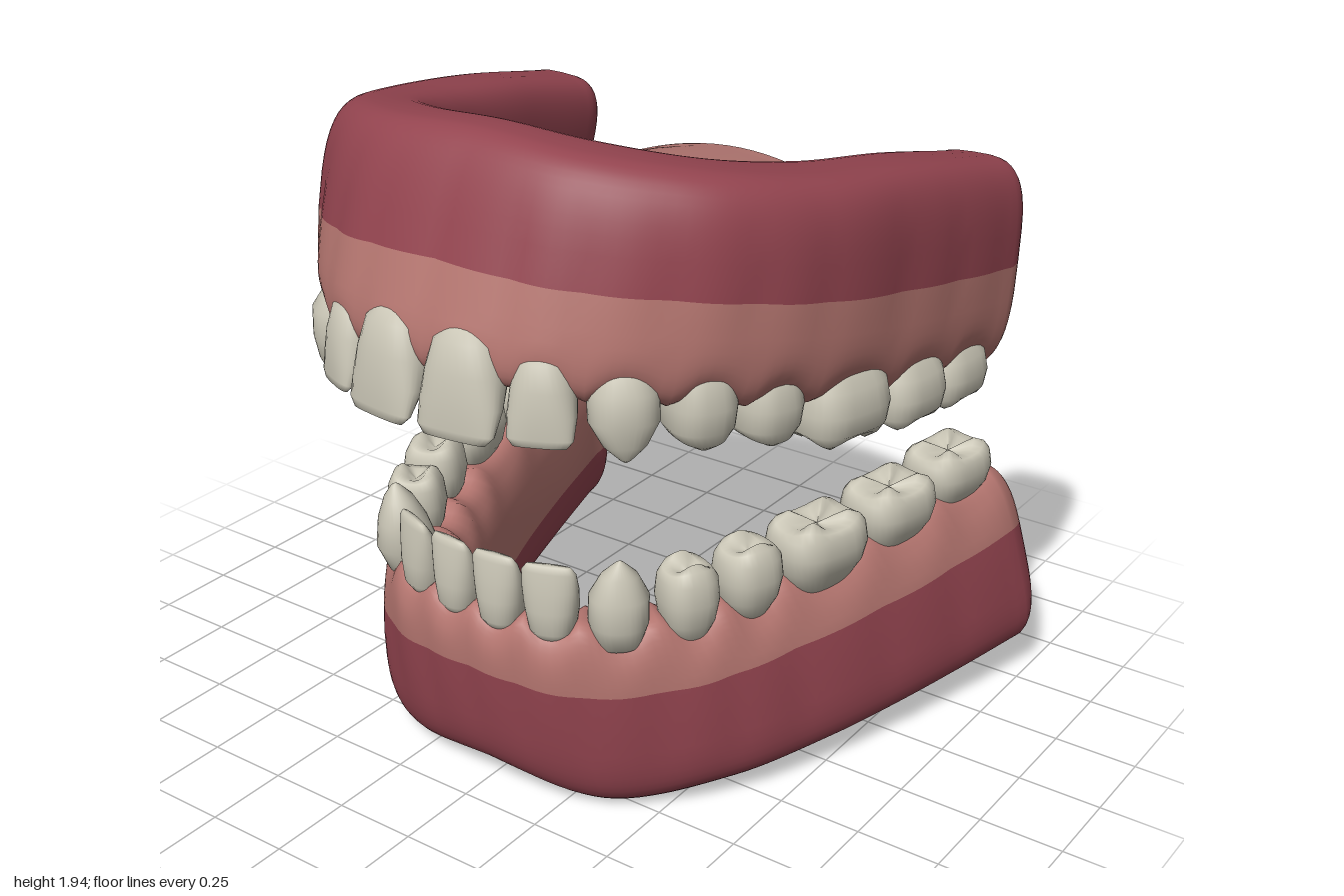
import * as THREE from 'three';

const paint = (color, extra = {}) => new THREE.MeshStandardMaterial({ color, ...extra });
const spow = (v, p) => Math.sign(v) * Math.abs(v) ** p;

// Skin a list of closed rings (arrays of [x, y, z]); flip reverses the facing.
function loft(rings, flip = false) {
  const n = rings[0].length, index = [];
  for (let i = 0; i < rings.length - 1; i++) {
    for (let j = 0; j < n; j++) {
      const k = (j + 1) % n;
      const a = i * n + j, b = (i + 1) * n + j, c = (i + 1) * n + k, d = i * n + k;
      index.push(...(flip ? [a, c, b, a, d, c] : [a, b, c, a, c, d]));
    }
  }
  const geo = new THREE.BufferGeometry();
  geo.setAttribute('position', new THREE.Float32BufferAttribute(rings.flat(2), 3));
  geo.setIndex(index);
  geo.computeVertexNormals();
  return geo;
}

// Crown rings from neck to tip: [height, width, depth, outward shift, cusp height]
const CROWNS = {
  incisor: { pow: 0.85, cusps: 0, rings: [[0, 0, 0, -0.4], [0, 0.3, 0.45, -0.4], [0.06, 0.6, 0.75, -0.15], [0.18, 0.83, 0.9, 0],
    [0.45, 0.98, 0.85, 0.12], [0.7, 1.03, 0.6, 0.3], [0.92, 0.99, 0.3, 0.5], [1, 0.8, 0.16, 0.55], [1, 0, 0, 0.55]] },
  canine: { pow: 0.9, cusps: 0, rings: [[0, 0, 0, -0.4], [0, 0.45, 0.45, -0.4], [0.1, 0.75, 0.78, -0.15], [0.35, 0.98, 1, 0],
    [0.62, 0.98, 0.8, 0.12], [0.84, 0.6, 0.48, 0.22], [0.97, 0.15, 0.15, 0.3], [1, 0, 0, 0.3]] },
  premolar: { pow: 0.8, cusps: 2, rings: [[-0.2, 0, 0, 0], [-0.2, 0.55, 0.55, 0], [0.12, 0.9, 0.88, 0], [0.45, 1.03, 1, 0], [0.75, 0.98, 0.9, 0],
    [0.9, 0.8, 0.72, 0, 0.04], [0.94, 0.5, 0.5, 0, 0.08], [0.85, 0.25, 0.25, 0, 0.04], [0.8, 0, 0, 0]] },
  molar: { pow: 0.7, cusps: 4, rings: [[-0.3, 0, 0, 0], [-0.3, 0.7, 0.55, 0], [0.12, 0.95, 0.9, 0], [0.45, 1.03, 1, 0], [0.75, 0.99, 0.92, 0],
    [0.87, 0.86, 0.78, 0, 0.05], [0.92, 0.6, 0.56, 0, 0.1], [0.84, 0.3, 0.28, 0, 0.07], [0.78, 0, 0, 0]] },
};

function crown({ kind, w, d, neck, tip }) {
  const { pow, cusps, rings } = CROWNS[kind], h = Math.abs(tip - neck);
  return loft(rings.map(([y, rw, rd, out, cusp = 0]) => Array.from({ length: 32 }, (_, j) => {
    const a = j / 32 * Math.PI * 2;
    return [spow(Math.cos(a), pow) * rw * w / 2,
      (y - cusp * Math.cos(cusps * a)) * h,
      (spow(Math.sin(a), pow) * rd + out) * d / 2];
  })));
}

// One side of a tooth row, midline to back: [x, z, width, depth, neck y, tip y, outward tilt]
const KINDS = ['incisor', 'incisor', 'canine', 'premolar', 'premolar', 'molar', 'molar', 'molar'];
const toothRow = (rows) => rows.map(([x, z, w, d, neck, tip, tilt = 0], i) => {
  const prev = rows[i - 1] || [-x, z], next = rows[i + 1] || rows[i];
  return { x, z, w, d, neck, tip, tilt, kind: KINDS[i], yaw: Math.atan2(prev[1] - next[1], next[0] - prev[0]) };
});

const UPPER = {
  name: 'upper', up: 1, push: 0.14, bandStart: 0,
  teeth: toothRow([
    [0.115, 0.79, 0.23, 0.18, 1.51, 1.2, 0.18], [0.305, 0.735, 0.175, 0.17, 1.47, 1.21, 0.18],
    [0.46, 0.625, 0.19, 0.19, 1.45, 1.16, 0.12], [0.58, 0.46, 0.185, 0.22, 1.39, 1.17],
    [0.66, 0.27, 0.185, 0.22, 1.34, 1.13], [0.745, 0.04, 0.28, 0.25, 1.27, 1.07],
    [0.79, -0.22, 0.25, 0.25, 1.22, 1.04], [0.81, -0.46, 0.24, 0.23, 1.19, 1.02]]),
  // rails: outer ridge, outer margin, inner ridge, inner margin
  rails: [
    [[0, 1.95, 0.68], [0.34, 1.93, 0.66], [0.65, 1.89, 0.47], [0.82, 1.83, 0.17], [0.88, 1.77, -0.25], [0.91, 1.69, -0.69]],
    [[0, 1.34, 0.91], [0.36, 1.32, 0.83], [0.63, 1.29, 0.6], [0.805, 1.23, 0.27], [0.89, 1.16, -0.1], [0.935, 1.09, -0.58]],
    [[0, 1.94, 0.43], [0.22, 1.92, 0.39], [0.41, 1.87, 0.24], [0.5, 1.82, 0], [0.55, 1.76, -0.35], [0.57, 1.68, -0.68]],
    [[0, 1.35, 0.58], [0.25, 1.33, 0.52], [0.4, 1.28, 0.38], [0.53, 1.21, 0.12], [0.6, 1.15, -0.2], [0.65, 1.09, -0.55]]],
};

const LOWER = {
  name: 'lower', up: -1, push: 0.15, bandStart: -1,
  teeth: toothRow([
    [0.075, 0.65, 0.145, 0.14, 0.53, 0.78], [0.225, 0.62, 0.155, 0.14, 0.53, 0.78],
    [0.38, 0.53, 0.17, 0.18, 0.5, 0.8], [0.49, 0.36, 0.165, 0.18, 0.55, 0.75],
    [0.57, 0.18, 0.185, 0.19, 0.57, 0.76], [0.65, -0.06, 0.29, 0.23, 0.6, 0.77],
    [0.715, -0.36, 0.28, 0.23, 0.62, 0.78], [0.76, -0.64, 0.27, 0.22, 0.65, 0.8]]),
  rails: [
    [[0, 0.04, 0.68], [0.38, -0.01, 0.6], [0.65, 0.03, 0.35], [0.82, 0.06, 0], [0.94, 0.08, -0.4], [1.04, 0.1, -0.79]],
    [[0, 0.61, 0.74], [0.31, 0.61, 0.68], [0.53, 0.6, 0.45], [0.66, 0.62, 0.14], [0.79, 0.66, -0.25], [0.89, 0.71, -0.74]],
    [[0, 0.06, 0.36], [0.22, 0.02, 0.28], [0.38, 0.05, 0.08], [0.48, 0.07, -0.18], [0.57, 0.08, -0.48], [0.65, 0.1, -0.79]],
    [[0, 0.61, 0.5], [0.2, 0.61, 0.46], [0.34, 0.6, 0.3], [0.46, 0.62, 0.03], [0.57, 0.66, -0.32], [0.65, 0.71, -0.73]]],
};

// How close a gum point lies to the middle of a tooth, 0 to 1
function toothBump(teeth, p) {
  let best = 0;
  for (const t of teeth) {
    const dx = Math.abs(p.x) - t.x, dz = p.z - t.z, c = Math.cos(t.yaw), s = Math.sin(t.yaw);
    if (Math.abs(dx * s + dz * c) < 0.25) best = Math.max(best, 1 - ((dx * c - dz * s) / (t.w / 2)) ** 2);
  }
  return best;
}

// Horseshoe gum: a rounded section swept between four rails, with domed ends
function gum({ name, up, push, bandStart, teeth, rails }) {
  const N = 48, STEPS = 110, CAP = 10;
  const curves = rails.map((half) => new THREE.CatmullRomCurve3(
    [...half.slice(1).reverse().map(([x, y, z]) => [-x, y, z]), ...half].map((p) => new THREE.Vector3(...p))));
  const stations = [];
  for (let i = 0; i < CAP; i++) stations.push([0, i / CAP * Math.PI / 2]);
  for (let i = 0; i <= STEPS; i++) stations.push([i / STEPS, Math.PI / 2]);
  for (let i = CAP - 1; i >= 0; i--) stations.push([1, i / CAP * Math.PI / 2]);

  const rings = stations.map(([t, phi]) => {
    const [or, om, ir, im] = curves.map((c) => c.getPoint(t));
    const mid = new THREE.Vector3().add(or).add(om).add(ir).add(im).multiplyScalar(0.25);
    const outward = or.clone().add(om).sub(ir).sub(im).setY(0).normalize();
    return Array.from({ length: N }, (_, j) => {
      const a = (j + bandStart) / N * Math.PI * 2;
      const u = spow(Math.cos(a), 0.57), w = spow(Math.sin(a), 0.57);
      const outer = om.clone().lerp(or, (w + 1) / 2), inner = im.clone().lerp(ir, (w + 1) / 2);
      const p = inner.lerp(outer, (u + 1) / 2);
      const bump = toothBump(teeth, p);
      p.y += up * 0.04 * bump * THREE.MathUtils.clamp((-w - 0.3) / 0.5, 0, 1);
      if (u > 0) p.addScaledVector(outward, 0.008 * bump * (1 - Math.abs(w)));
      p.sub(mid).multiplyScalar(Math.sin(phi) ** 0.7).add(mid);
      p.z -= push * Math.cos(phi);
      return p.toArray();
    });
  });

  // Split the skin into the deep red base and the pink band beside the teeth
  const whole = loft(rings, up < 0), all = Array.from(whole.index.array);
  const group = new THREE.Group();
  group.name = `${name}Gum`;
  const band = (part, color, keep) => {
    const geo = whole.clone();
    geo.setIndex(all.filter((_, k) => keep(Math.floor(k / 6) % N)));
    const mesh = new THREE.Mesh(geo, paint(color));
    mesh.name = `${name}${part}`;
    group.add(mesh);
  };
  band('GumBase', 0x93444f, (j) => j < 24);
  band('GumMargin', 0xb57670, (j) => j >= 24);
  return group;
}

function teethOf({ name, up, teeth }) {
  const group = new THREE.Group(), enamel = paint(0xcac6b6);
  group.name = `${name}Teeth`;
  for (const t of teeth) {
    const geo = crown(t);
    for (const side of [1, -1]) {
      const mesh = new THREE.Mesh(geo, enamel);
      mesh.name = `${name}${side > 0 ? 'Left' : 'Right'}${t.kind[0].toUpperCase()}${t.kind.slice(1)}`;
      mesh.position.set(side * t.x, t.neck, t.z);
      mesh.rotation.set(-up * t.tilt, side * t.yaw, up > 0 ? Math.PI : 0, 'YXZ');
      group.add(mesh);
    }
  }
  return group;
}

// Vaulted palate with cross folds, strongest at the sides
function palate() {
  const geo = new THREE.PlaneGeometry(2, 1, 28, 90), pos = geo.attributes.position;
  for (let i = 0; i < pos.count; i++) {
    const s = pos.getX(i), v = (pos.getY(i) + 0.5) ** 1.4;
    const z = 0.53 - 1.16 * v + 0.06 * s * s * v;
    const fold = (((0.5 - z) / 0.22) % 1 + 1) % 1;
    const y = 1.6 - 0.22 * v + (0.12 + 0.08 * v) * (1 - s * s) - 0.06 * fold ** 4 * s * s * (1 - s ** 4);
    pos.setXYZ(i, s * 0.63 * Math.sqrt(Math.max(0, 1 - (1 - v) ** 4)), y, z);
  }
  geo.computeVertexNormals();
  const mesh = new THREE.Mesh(geo, paint(0xb07570, { side: THREE.DoubleSide }));
  mesh.name = 'palate';
  return mesh;
}

export function createModel() {
  const model = new THREE.Group();
  model.name = 'dentalArches';
  for (const jaw of [UPPER, LOWER]) {
    const group = new THREE.Group();
    group.name = `${jaw.name}Jaw`;
    group.add(gum(jaw), teethOf(jaw));
    if (jaw === UPPER) group.add(palate());
    model.add(group);
  }
  return model;
}
